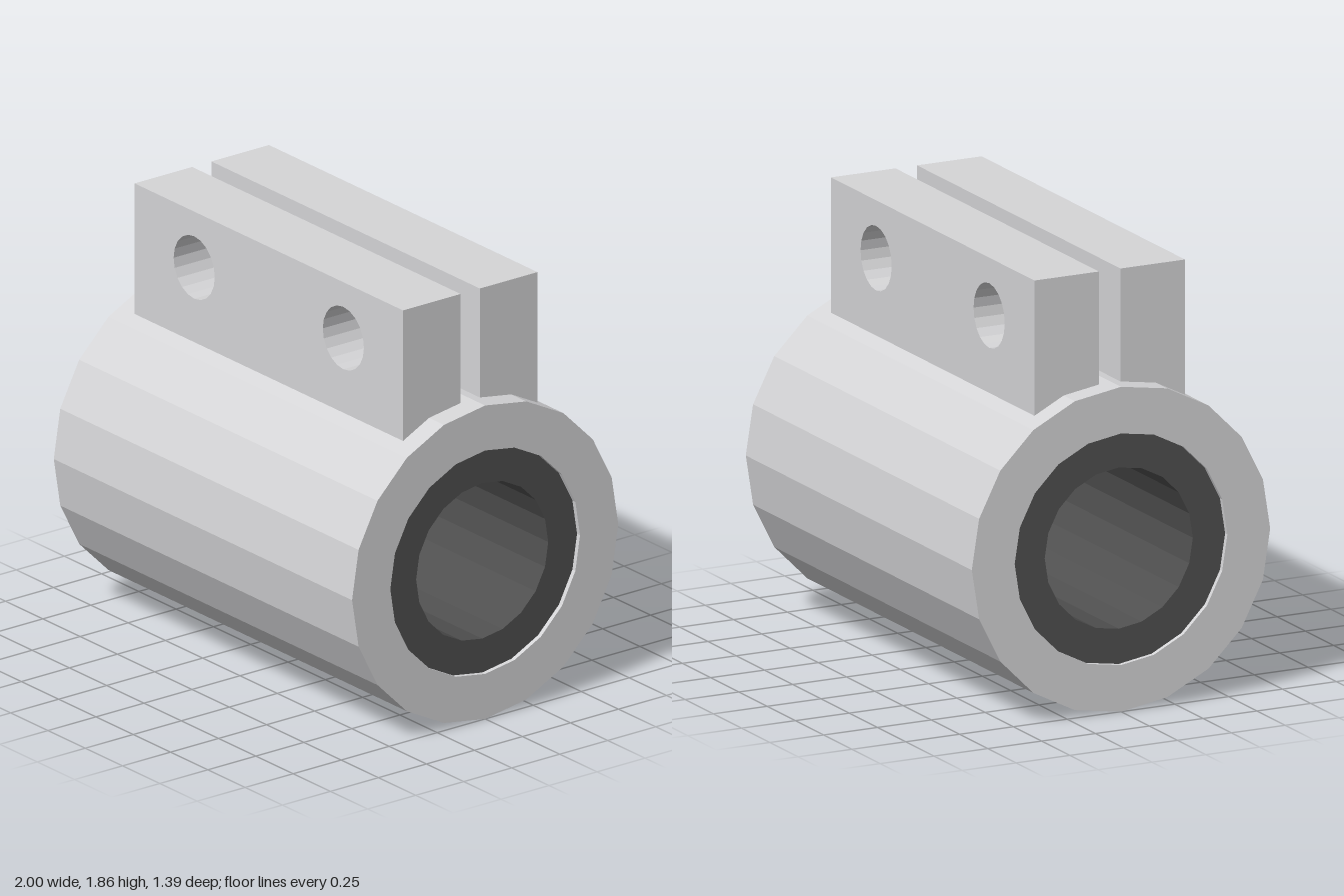
import * as THREE from 'three';

const AXIS_Y = 0.693; // height of the cylinder axis
const SIDES = 20;

// Regular counter-clockwise polygon with a vertex at the top
function polygon(radius, Type) {
  const points = [];
  for (let i = 0; i < SIDES; i++) {
    const a = (i / SIDES) * Math.PI * 2;
    points.push(new THREE.Vector2(-Math.sin(a) * radius, Math.cos(a) * radius));
  }
  return new Type(points);
}

// Faceted tube lying along x
function tube(name, outer, inner, length, material) {
  const shape = polygon(outer, THREE.Shape);
  shape.holes.push(polygon(inner, THREE.Path));
  const geometry = new THREE.ExtrudeGeometry(shape, { depth: length, bevelEnabled: false });
  geometry.translate(0, 0, -length / 2);
  geometry.rotateY(Math.PI / 2);
  const mesh = new THREE.Mesh(geometry, material);
  mesh.name = name;
  mesh.position.y = AXIS_Y;
  return mesh;
}

// Clamping plate with two bolt holes, standing on the housing
function clampPlate(name, z, material) {
  const bottom = 1.25, top = 1.86, half = 0.9, thickness = 0.3;
  const shape = new THREE.Shape();
  shape.moveTo(-half, bottom);
  shape.lineTo(half, bottom);
  shape.lineTo(half, top);
  shape.lineTo(-half, top);
  shape.closePath();
  for (const x of [-0.5, 0.5]) {
    const hole = new THREE.Path();
    hole.absarc(x, 1.613, 0.138, 0, Math.PI * 2, true);
    shape.holes.push(hole);
  }
  const geometry = new THREE.ExtrudeGeometry(shape, {
    depth: thickness, bevelEnabled: false, curveSegments: 10,
  });
  geometry.translate(0, 0, -thickness / 2);
  const mesh = new THREE.Mesh(geometry, material);
  mesh.name = name;
  mesh.position.z = z;
  return mesh;
}

export function createModel() {
  const metal = new THREE.MeshStandardMaterial({ color: 0xd5d5d7 });
  metal.name = 'light grey metal';
  const rubber = new THREE.MeshStandardMaterial({ color: 0x505050 });
  rubber.name = 'dark grey liner';

  const group = new THREE.Group();
  group.name = 'clampBushing';
  group.add(
    tube('housing', 0.693, 0.494, 2, metal),
    tube('liner', 0.494, 0.344, 1.96, rubber), // slightly recessed at both ends
    clampPlate('frontClampPlate', 0.2, metal),
    clampPlate('backClampPlate', -0.2, metal),
  );
  return group;
}
